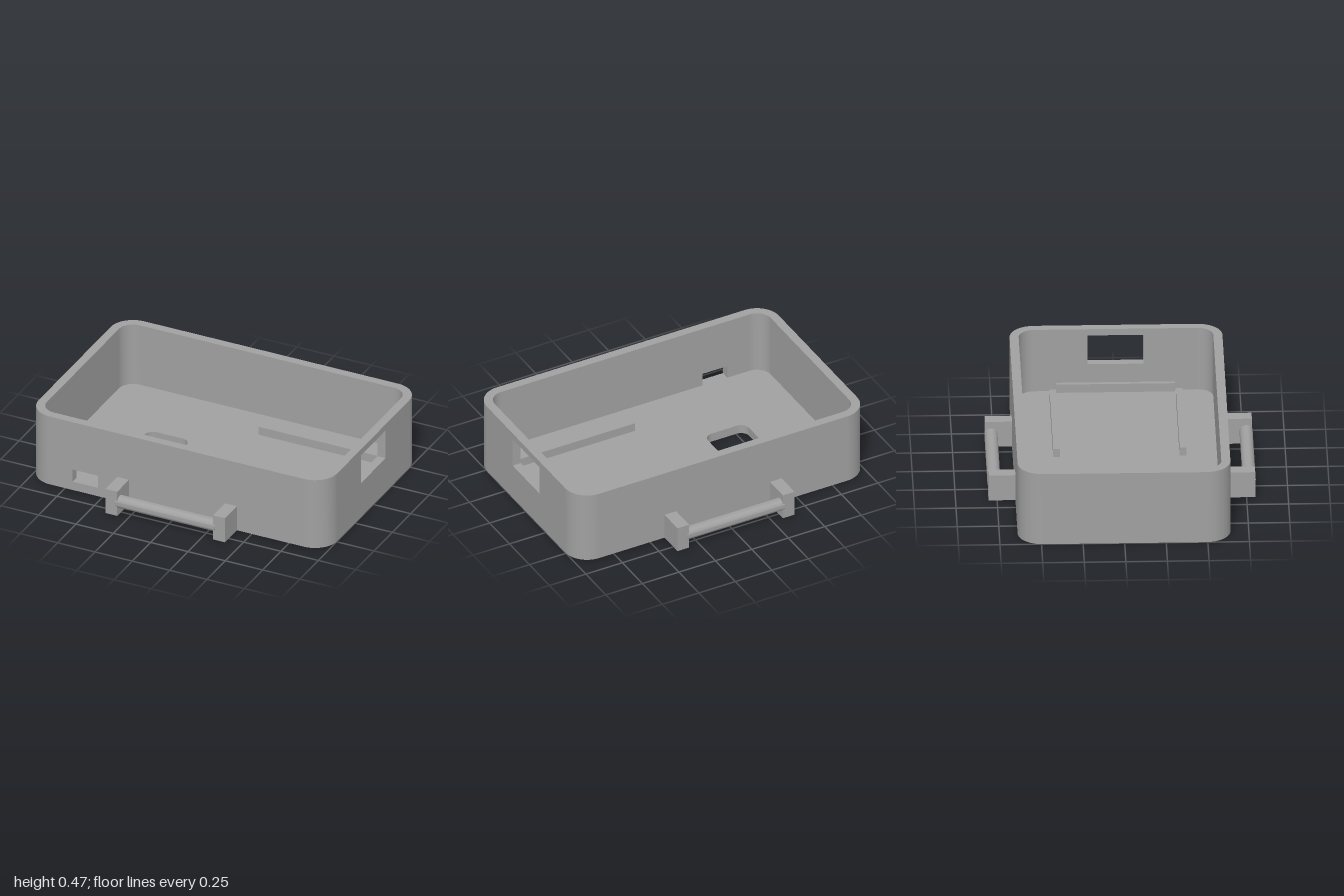
import * as THREE from 'three';
import { toCreasedNormals } from 'three/addons/utils/BufferGeometryUtils.js';

const W = 1, D = 0.64, H = 0.47;      // outer half width, half depth, height
const T = 0.055, R = 0.15;            // wall thickness, outer corner radius
const FLOOR = 0.058;

// Rounded rectangle outline between two corners
function roundedRect(path, x0, y0, x1, y1, r) {
  path.moveTo(x0 + r, y0);
  path.lineTo(x1 - r, y0);
  path.absarc(x1 - r, y0 + r, r, -Math.PI / 2, 0);
  path.lineTo(x1, y1 - r);
  path.absarc(x1 - r, y1 - r, r, 0, Math.PI / 2);
  path.lineTo(x0 + r, y1);
  path.absarc(x0 + r, y1 - r, r, Math.PI / 2, Math.PI);
  path.lineTo(x0, y0 + r);
  path.absarc(x0 + r, y0 + r, r, Math.PI, Math.PI * 1.5);
  return path;
}

function rect(path, x0, y0, x1, y1) {
  path.moveTo(x0, y0);
  path.lineTo(x1, y0);
  path.lineTo(x1, y1);
  path.lineTo(x0, y1);
  path.closePath();
  return path;
}

function extrude(shape, depth) {
  return new THREE.ExtrudeGeometry(shape, { depth, bevelEnabled: false, curveSegments: 12 });
}

export function createModel() {
  const model = new THREE.Group();
  model.name = 'enclosureTray';
  const grey = new THREE.MeshStandardMaterial({ color: 0xa0a0a0 });
  grey.name = 'grey';

  function add(parent, name, geometry, x = 0, y = 0, z = 0) {
    const mesh = new THREE.Mesh(toCreasedNormals(geometry, 0.6), grey);
    mesh.name = name;
    mesh.position.set(x, y, z);
    parent.add(mesh);
    return mesh;
  }
  // Box given by its min and max corners
  function box(parent, name, x0, x1, y0, y1, z0, z1) {
    return add(parent, name, new THREE.BoxGeometry(x1 - x0, y1 - y0, z1 - z0),
      (x0 + x1) / 2, (y0 + y1) / 2, (z0 + z1) / 2);
  }

  // Floor with a rounded opening
  const floor = roundedRect(new THREE.Shape(), -W + T, -D + T, W - T, D - T, R - T);
  floor.holes.push(roundedRect(new THREE.Path(), -0.56, -0.113, -0.28, 0.117, 0.055));
  add(model, 'floor', extrude(floor, FLOOR).rotateX(-Math.PI / 2));

  // Straight wall panels, with a slot in the front and a window at the side
  function panel(half, hole) {
    const s = rect(new THREE.Shape(), -half, 0, half, H);
    if (hole) s.holes.push(rect(new THREE.Path(), ...hole));
    return extrude(s, T);
  }
  const cx = W - R, cz = D - R;
  add(model, 'frontWall', panel(cx, [-0.7, FLOOR, -0.53, 0.142]), 0, 0, D - T);
  add(model, 'backWall', panel(cx), 0, 0, -D);
  add(model, 'leftWall', panel(cz, [-0.168, 0.235, 0.168, 0.428]).rotateY(Math.PI / 2), W - T);
  add(model, 'rightWall', panel(cz).rotateY(Math.PI / 2), -W);

  // Rounded wall corners
  const corner = new THREE.Shape();
  corner.moveTo(R, 0);
  corner.absarc(0, 0, R, 0, Math.PI / 2, false);
  corner.lineTo(0, R - T);
  corner.absarc(0, 0, R - T, Math.PI / 2, 0, true);
  corner.closePath();
  [[cx, -cz], [-cx, -cz], [-cx, cz], [cx, cz]].forEach(([x, z], i) => {
    const g = extrude(corner, H).rotateX(-Math.PI / 2).rotateY(i * Math.PI / 2);
    add(model, 'wallCorner', g, x, 0, z);
  });

  // Rails on the floor and a strip along the windowed wall
  const railTop = 0.113;
  box(model, 'backRail', 0.055, 0.855, FLOOR, railTop, -0.4, -0.36);
  box(model, 'frontRail', 0.055, 0.855, FLOOR, railTop, 0.36, 0.4);
  box(model, 'endStrip', 0.92, W - T, FLOOR, railTop, -0.358, 0.358);

  // Carrying handles: two posts and a round bar on each long side
  for (const side of [1, -1]) {
    const handle = new THREE.Group();
    handle.name = side > 0 ? 'frontHandle' : 'backHandle';
    for (const s of [1, -1]) {
      add(handle, 'handlePost', new THREE.BoxGeometry(0.08, 0.167, 0.163),
        s * 0.361, 0.0835, side * 0.7205);
    }
    const bar = new THREE.CylinderGeometry(0.04, 0.04, 0.668, 32).rotateZ(Math.PI / 2);
    add(handle, 'handleBar', bar, 0, 0.084, side * 0.767);
    model.add(handle);
  }
  return model;
}
